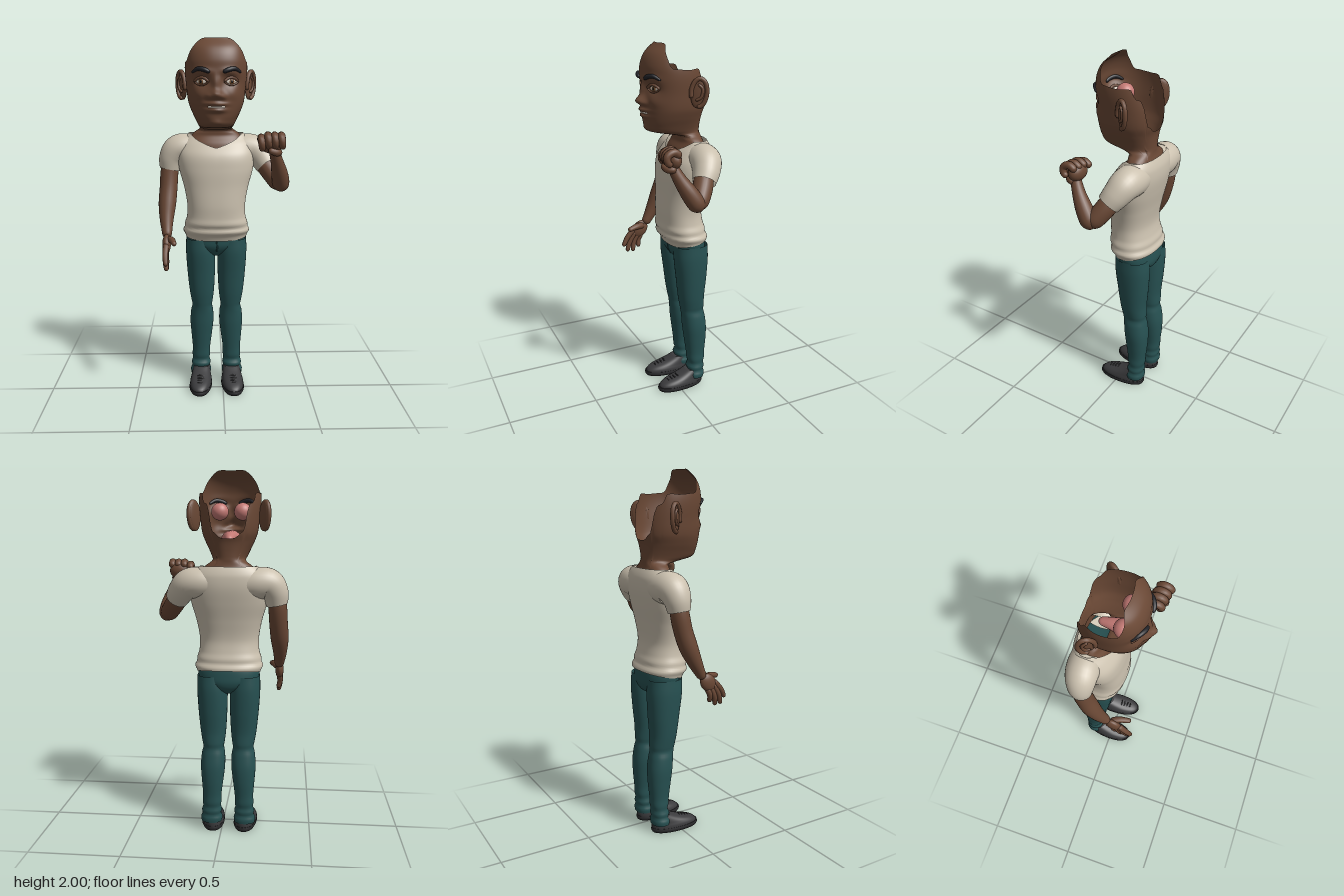
import * as THREE from 'three';

const mat = (name, color) => new THREE.MeshStandardMaterial({ name, color, side: THREE.DoubleSide });
const M = {
  skin: mat('brown skin', 0x6a4835), shirt: mat('cream cotton', 0xcbc1af), pants: mat('teal denim', 0x275152),
  shoe: mat('charcoal canvas', 0x3b3b3d), sole: mat('black rubber', 0x29292b), brow: mat('dark hair', 0x222328),
  pink: mat('pink flesh', 0xc47a75), white: mat('eye white', 0xd9cdbf), iris: mat('amber iris', 0x7a5230), pupil: mat('black pupil', 0x121212),
};
const CX = -0.037; // centre line of head, torso and legs
const { lerp } = THREE.MathUtils;
const pw = (v, e) => Math.sign(v) * Math.abs(v) ** e;

function add(parent, name, geo, material) {
  const m = new THREE.Mesh(geo, material);
  m.name = name;
  parent.add(m);
  return m;
}

// Smooth interpolation of a table whose first column is the key
function at(tab, key) {
  let i = 0;
  while (i < tab.length - 2 && key > tab[i + 1][0]) i++;
  const a = tab[i], b = tab[i + 1], p = tab[Math.max(0, i - 1)], q = tab[Math.min(tab.length - 1, i + 2)];
  const h = b[0] - a[0], t = THREE.MathUtils.clamp((key - a[0]) / h, 0, 1), t2 = t * t, t3 = t2 * t;
  return a.map((v, k) => {
    const m0 = (b[k] - p[k]) / (b[0] - p[0]) * h, m1 = (q[k] - v) / (q[0] - a[0]) * h;
    return (2 * t3 - 3 * t2 + 1) * v + (t3 - 2 * t2 + t) * m0 + (3 * t2 - 2 * t3) * b[k] + (t3 - t2) * m1;
  });
}

// Rows of closed rings joined into a smooth skin
function grid(rows, n, fn) {
  const pos = [], idx = [];
  for (let i = 0; i < rows; i++) for (let j = 0; j < n; j++) {
    pos.push(...fn(i, j / n * Math.PI * 2));
    if (i === rows - 1) continue;
    const a = i * n + j, b = i * n + (j + 1) % n;
    idx.push(a, b, a + n, b, b + n, a + n);
  }
  const g = new THREE.BufferGeometry();
  g.setAttribute('position', new THREE.Float32BufferAttribute(pos, 3));
  g.setIndex(idx);
  g.computeVertexNormals();
  return g;
}

// Point on an upright form; sections are [y, halfWidth, frontZ, backZ]
function ringPoint(tab, y, th, e) {
  const [, w, f, b] = at(tab, y);
  return [w * pw(Math.sin(th), e), y, (f + b) / 2 + (f - b) / 2 * pw(Math.cos(th), e)];
}

function loft(tab, { n = 48, rows = 40, e = 0.9, cap = false, low, top, warp = (p) => p } = {}) {
  const vs = Array.from({ length: rows + 1 }, (_, i) => [i / rows, 1]);
  if (cap) { vs.unshift([0, 0], [0, 1]); vs.push([1, 1], [1, 0]); }
  return grid(vs.length, n, (i, th) => {
    const [v, s] = vs[i];
    const y = lerp(low ? low(th) : tab[0][0], top ? top(th) : tab[tab.length - 1][0], v);
    const p = warp(ringPoint(tab, y, th, e));
    if (!s) { const [, , f, b] = at(tab, y); return [0, y, (f + b) / 2]; }
    return p;
  });
}

// Tapered limb through [x, y, z, radius] points
function limb(pts, { n = 16, rows = 24, round = true } = {}) {
  const c = new THREE.CatmullRomCurve3(pts.map((p) => new THREE.Vector3(p[0], p[1], p[2])));
  const fr = c.computeFrenetFrames(rows), L = c.getLength();
  const radii = pts.map((p, i) => [i / (pts.length - 1), p[3]]);
  return grid(rows + 1, n, (i, th) => {
    // crowd the rings at the ends so they round off
    const u = round ? (1 - Math.cos(Math.PI * i / rows)) / 2 : i / rows;
    let r = at(radii, c.getUtoTmapping(u))[1];
    const d = Math.min(u, 1 - u) * L;
    if (round && d < r) r *= Math.sqrt(Math.max(0, 1 - (1 - d / r) ** 2));
    const k = Math.min(rows, Math.round(u * rows));
    return c.getPointAt(u).addScaledVector(fr.normals[k], r * Math.cos(th)).addScaledVector(fr.binormals[k], r * Math.sin(th)).toArray();
  });
}

// Neck and open-topped head, from collar to crown
const HEAD = [[1.38, .17, 0, -.17], [1.44, .155, -.012, -.168], [1.48, .14, -.035, -.165], [1.5, .12, -.035, -.16],
  [1.515, .098, -.028, -.158], [1.528, .089, .045, -.158], [1.545, .097, .125, -.158], [1.58, .113, .148, -.16], [1.62, .132, .155, -.165],
  [1.67, .15, .158, -.178], [1.75, .16, .157, -.178], [1.83, .167, .159, -.165], [1.89, .164, .157, -.15], [1.95, .15, .13, -.12], [2, .13, .075, -.1]];
const RIM = [[0, 2], [30, 1.998], [45, 1.975], [60, 1.93], [69, 1.885], [80, 1.878], [100, 1.872], [125, 1.87], [130, 1.83],
  [143, 1.8], [149, 1.69], [156, 1.67], [166, 1.645], [180, 1.64]];
// Facial relief: [x, y, spreadX, spreadY, height], pairs are mirrored
const RELIEF = [[0, 1.71, .032, .026, .042], [0, 1.765, .02, .045, .02], [.036, 1.7, .018, .015, .014], [0, 1.663, .05, .011, .024],
  [0, 1.632, .045, .012, .02], [.078, 1.778, .04, .026, -.017], [.07, 1.828, .05, .018, .01], [0, 1.565, .035, .02, .01], [.09, 1.71, .04, .03, .008]];
function face([x, y, z]) {
  if (z < 0) return [x, y, z];
  let d = 0;
  for (const [bx, by, sx, sy, h] of RELIEF) d += h * Math.exp(-(((Math.abs(x) - bx) / sx) ** 2) - ((y - by) / sy) ** 2);
  return [x, y, z + d * Math.min(1, z / 0.06)];
}
function onFace(x, y, lift, r) {
  const w = at(HEAD, y)[1];
  const p = face(ringPoint(HEAD, y, Math.asin(pw(x / w, 1 / 0.88)), 0.88));
  return [x, y, p[2] + lift, r];
}

function buildHead() {
  const g = new THREE.Group();
  g.name = 'head';
  const top = (th) => { const d = th * 180 / Math.PI; return at(RIM, d > 180 ? 360 - d : d)[1]; };
  add(g, 'headAndNeck', loft(HEAD, { n: 112, rows: 90, e: 0.88, top, warp: face }), M.skin);
  add(g, 'mouthCavity', limb([[0, 1.615, .115, .055], [0, 1.625, .06, .058], [0, 1.64, 0, .036], [0, 1.63, -.085, .018]]), M.pink);
  add(g, 'teeth', limb([-.045, -.02, .02, .045].map((x) => onFace(x, 1.648, -.001, .006))), M.white);
  for (const s of [-1, 1]) {
    add(g, 'eyeball', new THREE.SphereGeometry(.048, 32, 20), M.pink).position.set(s * .063, 1.78, .062);
    // eye: white, iris and pupil follow the slope of the face
    const eye = new THREE.Group();
    eye.name = 'eye';
    eye.position.set(...onFace(s * .078, 1.777, 0).slice(0, 3));
    eye.rotation.y = s * .36;
    for (const [name, m, w, h, d, z] of [['eyeWhite', M.white, .033, .0165, .009, 0], ['iris', M.iris, .0145, .0155, .005, .006], ['pupil', M.pupil, .007, .0075, .003, .0095]]) {
      const b = add(eye, name, new THREE.SphereGeometry(1, 24, 16), m);
      b.scale.set(w, h, d);
      b.position.z = z;
    }
    g.add(eye);
    for (const [name, bend, r] of [['upperLid', .021, .0075], ['lowerLid', -.018, .005]])
      add(g, name, limb([-1, -.5, 0, .5, 1].map((t) => onFace(s * .078 + t * .038, 1.777 + bend * (1 - t * t), .004, r)), { n: 10 }), M.skin);
    add(g, 'eyebrow', limb([[.034, 1.824, .009], [.06, 1.836, .012], [.095, 1.842, .011], [.128, 1.823, .006]].map(([x, y, r]) => onFace(s * x, y, .002, r))), M.brow);
    // ear: thin bowl with a raised rim, flared backwards
    const side = new THREE.Group(), ear = new THREE.Group();
    side.name = 'earSide';
    ear.name = 'ear';
    ear.position.set(.183, 1.757, -.075);
    ear.rotation.set(0, 1.02, -.12);
    add(ear, 'earBowl', new THREE.SphereGeometry(1, 24, 16), M.skin).scale.set(.044, .08, .012);
    const rim = Array.from({ length: 9 }, (_, i) => { const a = (205 - i * 37) * Math.PI / 180; return [.041 * Math.cos(a), .074 * Math.sin(a), .008, .012]; });
    add(ear, 'earRim', limb(rim, { n: 10, rows: 36 }), M.skin);
    add(ear, 'earInnerFold', limb([[-.01, .045, .012, .007], [.016, .025, .013, .008], [.014, -.02, .013, .008], [-.012, -.04, .012, .007]], { n: 10 }), M.skin);
    side.add(ear);
    side.scale.x = s;
    g.add(side);
  }
  return g;
}

function buildBody() {
  const g = new THREE.Group();
  g.name = 'body';
  // shirt with slouched hem folds and a V neck
  const shirt = [[.89, .172, .03, -.182], [.925, .176, .045, -.187], [.95, .188, .064, -.19], [.972, .178, .06, -.178], [.995, .177, .071, -.178],
    [1.03, .166, .069, -.167], [1.1, .163, .07, -.157], [1.2, .18, .064, -.17], [1.3, .207, .059, -.19], [1.38, .213, .045, -.202],
    [1.44, .2, .006, -.2], [1.47, .18, -.02, -.191], [1.497, .152, -.034, -.178]];
  add(g, 'shirtBody', loft(shirt, {
    n: 64, rows: 60, e: 0.86, low: (th) => .917 - .02 * Math.cos(th),
    top: (th) => (Math.cos(th) > 0 ? 1.42 + .075 * Math.min(1, Math.abs(Math.sin(th)) * 1.1) : 1.495),
  }), M.shirt);
  add(g, 'torsoLining', loft([[1, .15, .045, -.145], [1.1, .15, .05, -.142], [1.2, .165, .048, -.155], [1.37, .195, .02, -.185]]), M.pants);
  // trousers
  add(g, 'hips', loft([[.8, .03, -.03, -.13], [.825, .09, .0, -.165], [.86, .15, .018, -.18], [.9, .168, .022, -.18], [.95, .166, .03, -.172], [1, .15, .04, -.15]], { cap: true }), M.pants);
  add(g, 'fly', limb([[0, .9, .02, .004], [.004, .86, .018, .004], [0, .83, .004, .004]], { n: 8 }), M.pants);
  const leg = [[.05, .058, -.06, -.163], [.075, .061, -.058, -.166], [.095, .052, -.07, -.16], [.115, .057, -.062, -.166], [.14, .05, -.073, -.162],
    [.165, .053, -.066, -.168], [.21, .052, -.062, -.17], [.3, .061, -.05, -.178], [.38, .068, -.04, -.179], [.45, .065, -.034, -.17],
    [.49, .057, -.028, -.162], [.51, .061, -.024, -.165], [.58, .071, -.012, -.164], [.7, .08, .002, -.174], [.82, .084, .016, -.18], [.9, .08, .015, -.175]];
  const lean = (p) => [p[0] - .006 + .012 * Math.min(1, Math.abs(p[1] - .5) * 2), p[1], p[2]];
  // shoes
  const sole = [[0, .06, .122, -.156], [.012, .066, .128, -.161], [.026, .064, .125, -.159]];
  const upper = [[.024, .063, .121, -.157], [.04, .062, .11, -.158], [.055, .058, .082, -.157], [.07, .054, .03, -.157], [.085, .05, -.015, -.157], [.1, .046, -.05, -.155]];
  for (const s of [-1, 1]) {
    const half = new THREE.Group();
    half.name = s > 0 ? 'leftLeg' : 'rightLeg';
    half.position.x = s * .089;
    add(half, 'trouserLeg', loft(leg, { n: 32, rows: 80, warp: (p) => { const q = lean([p[0] * s, p[1], p[2]]); return [q[0] * s, q[1], q[2]]; } }), M.pants);
    const shoe = new THREE.Group();
    shoe.name = 'shoe';
    shoe.position.x = s * .006;
    shoe.rotation.y = s * .06;
    add(shoe, 'sole', loft(sole, { rows: 8, cap: true }), M.sole);
    add(shoe, 'shoeUpper', loft(upper, { rows: 24, cap: true }), M.shoe);
    for (let i = 0; i < 4; i++) {
      const z = .005 + i * .019, y = .078 - i * .0062;
      add(shoe, 'lace', limb([[-.026, y - .008, z, .004], [0, y + .001, z + .004, .004], [.026, y - .008, z, .004]], { n: 8, rows: 10 }), M.sole);
    }
    half.add(shoe);
    g.add(half);
  }
  return g;
}

function buildRightArm() {
  const g = new THREE.Group();
  g.name = 'rightArm';
  add(g, 'sleeve', limb([[-.12, 1.4, -.11, .08], [-.19, 1.403, -.11, .087], [-.25, 1.4, -.105, .084], [-.285, 1.355, -.1, .073], [-.297, 1.29, -.095, .058]], { n: 32, round: false }), M.shirt);
  add(g, 'arm', limb([[-.285, 1.38, -.1, .045], [-.3, 1.28, -.093, .05], [-.306, 1.19, -.075, .05], [-.313, 1.1, -.045, .049], [-.316, 1.02, -.008, .039], [-.313, .95, .032, .028], [-.312, .925, .05, .027]], { n: 24, rows: 36 }), M.skin);
  const palm = add(g, 'palm', new THREE.SphereGeometry(1, 24, 16), M.skin);
  palm.scale.set(.024, .056, .044);
  palm.position.set(-.314, .897, .078);
  palm.rotation.x = -.65;
  // fingers fan out below the palm, thumb points forward
  [[.905, .11, .8, .187], [.89, .105, .765, .163], [.875, .09, .762, .128], [.87, .07, .785, .092]].forEach(([y, z, ty, tz], i) =>
    add(g, 'finger', limb([[-.314, y, z, .017], [-.318, (y + ty) / 2, (z + tz) / 2 + .008, .0155], [-.314 + i * .002, ty, tz, .012]], { n: 12, rows: 16 }), M.skin));
  add(g, 'thumb', limb([[-.305, .92, .06, .02], [-.282, .925, .11, .018], [-.266, .915, .17, .013]], { n: 12 }), M.skin);
  return g;
}

function buildLeftArm() {
  const g = new THREE.Group();
  g.name = 'leftArm';
  add(g, 'sleeve', limb([[.046, 1.4, -.11, .08], [.115, 1.403, -.11, .087], [.175, 1.398, -.105, .084], [.22, 1.36, -.085, .074], [.252, 1.312, -.055, .063]], { n: 32, round: false }), M.shirt);
  add(g, 'upperArm', limb([[.19, 1.38, -.09, .045], [.25, 1.305, -.052, .054], [.3, 1.235, -.008, .05], [.325, 1.195, .02, .04]], { n: 24 }), M.skin);
  add(g, 'forearm', limb([[.325, 1.185, -.005, .035], [.32, 1.225, .022, .047], [.308, 1.285, .06, .045], [.29, 1.35, .1, .035], [.272, 1.41, .128, .029], [.265, 1.44, .135, .028]], { n: 24 }), M.skin);
  const palm = add(g, 'fistPalm', new THREE.SphereGeometry(1, 24, 16), M.skin);
  palm.scale.set(.064, .05, .042);
  palm.position.set(.256, 1.452, .126);
  // curled fingers
  for (let i = 0; i < 4; i++) {
    const x = .2 + i * .035, z = i * .006, y = i < 1 ? -.012 : 0;
    add(g, 'finger', limb([[x, 1.475 + y, .085 + z, .02], [x, 1.5 + y, .125 + z, .0205], [x, 1.482 + y, .16 + z, .02], [x + .004, 1.45 + y, .158 + z, .018], [x + .006, 1.435 + y, .135 + z, .015]], { n: 12 }), M.skin);
  }
  add(g, 'thumb', limb([[.3, 1.41, .125, .019], [.28, 1.41, .162, .019], [.235, 1.425, .175, .015]], { n: 12 }), M.skin);
  return g;
}

export function createModel() {
  const model = new THREE.Group();
  model.name = 'standingMan';
  const core = new THREE.Group();
  core.name = 'core';
  core.position.x = CX;
  core.add(buildHead(), buildBody());
  model.add(core, buildRightArm(), buildLeftArm());
  return model;
}
